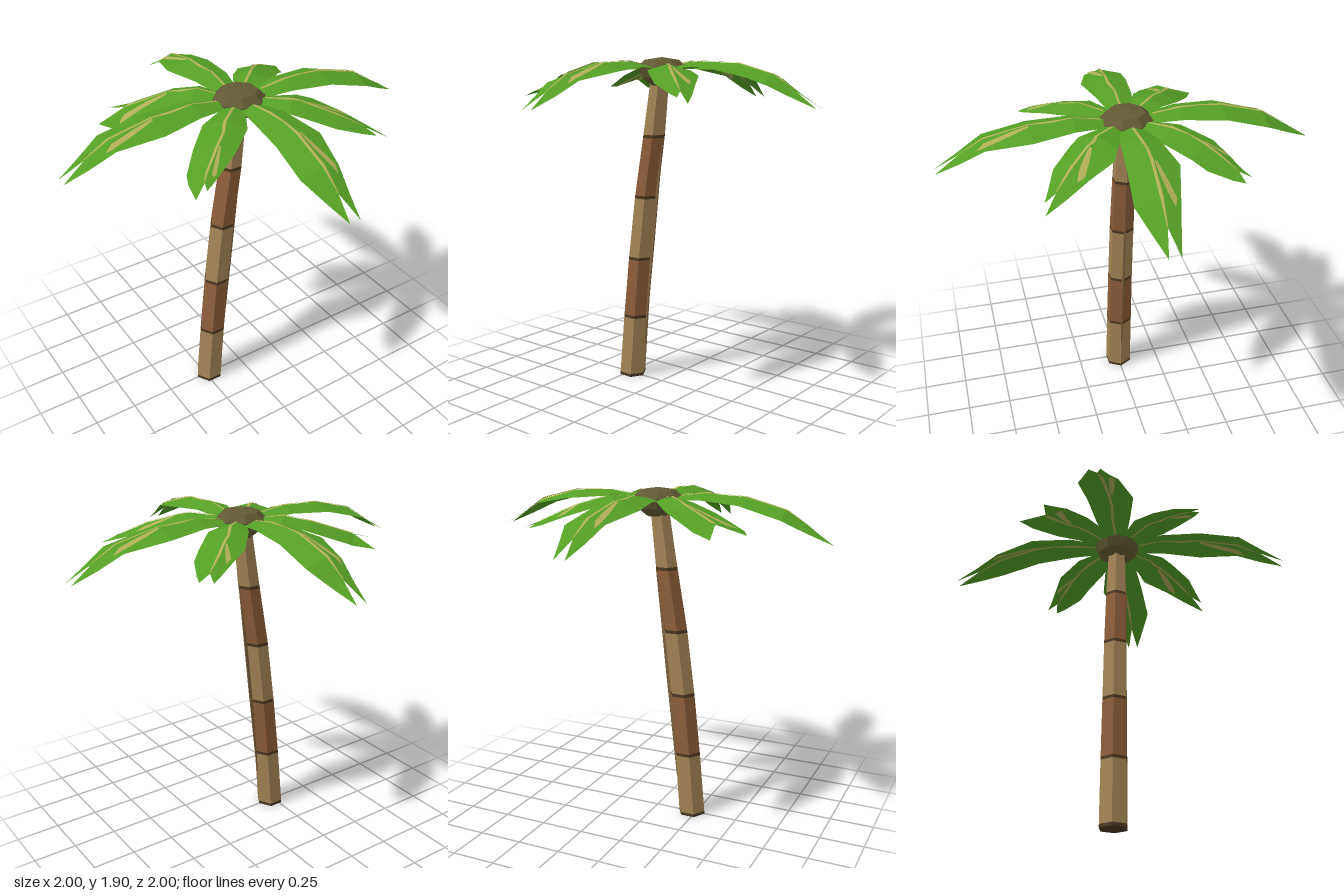
import * as THREE from 'three';

const mat = (name, color, side = THREE.FrontSide) => {
  const m = new THREE.MeshStandardMaterial({ color, side });
  m.name = name;
  return m;
};

// piecewise linear lookup in rows of [key, value, ...]
function lookup(table, key, col = 1) {
  let i = 0;
  while (i < table.length - 2 && key > table[i + 1][0]) i++;
  const [a, b] = [table[i], table[i + 1]];
  return THREE.MathUtils.lerp(a[col], b[col], (key - a[0]) / (b[0] - a[0]));
}

function faceted(geometry) {
  const g = geometry.index ? geometry.toNonIndexed() : geometry;
  g.computeVertexNormals();
  return g;
}

function fromTriangles(points) {
  return faceted(new THREE.BufferGeometry().setFromPoints(points));
}

// trunk: height, centre x, radius
const TRUNK = [
  [0, -0.225, 0.081], [0.375, -0.193, 0.078], [0.735, -0.158, 0.074],
  [1.11, -0.112, 0.071], [1.46, -0.055, 0.066], [1.8, -0.01, 0.055],
];

// section of the leaning six-sided trunk between two heights
function trunkSection(y0, y1, capped) {
  const g = new THREE.CylinderGeometry(1, 1, y1 - y0, 6, 1, !capped, Math.PI / 2);
  const p = g.attributes.position;
  for (let i = 0; i < p.count; i++) {
    const y = p.getY(i) + (y0 + y1) / 2;
    const r = lookup(TRUNK, y, 2);
    p.setXYZ(i, lookup(TRUNK, y) + p.getX(i) * r, y, p.getZ(i) * r);
  }
  return faceted(g);
}

// leaf spine: distance outward, height
const LONG_SPINE = [[0.1, 1.85], [0.3, 1.88], [0.45, 1.882], [0.74, 1.81], [1, 1.65]];
const SHORT_SPINE = [[0.1, 1.85], [0.25, 1.87], [0.45, 1.825], [0.6, 1.765], [0.78, 1.68]];

// leaf stations: distance outward, left edge, middle, right edge; then the two tips
const LONG_LEAF = {
  rows: [[0.1, -0.06, 0, 0.06], [0.28, -0.1, 0, 0.1], [0.51, -0.135, 0, 0.125], [0.74, -0.07, 0.02, 0.15], [0.87, -0.035, 0.03, 0.105]],
  tips: [[1, 0], [1, 0.06]],
};
const SHORT_LEAVES = [
  { // front left of the model
    rows: [[0.1, -0.05, 0, 0.05], [0.28, -0.12, 0, 0.11], [0.36, -0.15, 0, 0.11], [0.52, -0.108, 0, 0.1], [0.66, -0.07, -0.01, 0.04]],
    tips: [[0.778, -0.03], [0.72, 0.014]],
  },
  { // front right
    rows: [[0.1, -0.05, 0, 0.05], [0.3, -0.106, 0, 0.12], [0.47, -0.085, 0, 0.125], [0.62, -0.035, 0.02, 0.12], [0.67, -0.015, 0.02, 0.1]],
    tips: [[0.71, 0], [0.76, 0.04]],
  },
  { // back right
    rows: [[0.1, -0.05, 0, 0.05], [0.23, -0.11, 0, 0.09], [0.38, -0.18, -0.01, 0.1], [0.58, -0.25, -0.07, 0.045], [0.6, -0.243, -0.08, 0.038]],
    tips: [[0.7, -0.205], [0.72, 0]],
  },
  { // back left
    rows: [[0.1, -0.05, 0, 0.05], [0.27, -0.09, 0, 0.12], [0.45, -0.1, 0, 0.13], [0.54, -0.065, 0.01, 0.134], [0.66, -0.02, 0.03, 0.095]],
    tips: [[0.72, 0], [0.72, 0.07]],
  },
];

function makeFrond(name, leaf, spine, angle, mats) {
  const group = new THREE.Group();
  group.name = name;
  const c = Math.cos(angle), s = Math.sin(angle);
  const place = (u, v, drop = 0) =>
    new THREE.Vector3(c * u - s * v, lookup(spine, u) - drop, s * u + c * v);
  const rows = leaf.rows.map(([u, l, m, r]) =>
    [place(u, l, 0.28 * (m - l)), place(u, m), place(u, r, 0.28 * (r - m))]);

  // folded blade with a split tip
  const tri = [];
  for (let i = 0; i < rows.length - 1; i++) {
    for (let j = 0; j < 2; j++) {
      const [a, b, d, e] = [rows[i][j], rows[i][j + 1], rows[i + 1][j + 1], rows[i + 1][j]];
      tri.push(a, b, d, a, d, e);
    }
  }
  const end = rows[rows.length - 1];
  leaf.tips.forEach(([u, v], j) => tri.push(end[j], end[j + 1], place(u, v)));
  const blade = new THREE.Mesh(fromTriangles(tri), mats.green);
  blade.name = 'frondBlade';
  group.add(blade);

  // point on the blade: station t, side from -1 to 1
  const onBlade = (t, side, lift) => {
    const i = Math.min(Math.floor(t), rows.length - 2);
    const at = (row) => row[1].clone().lerp(side < 0 ? row[0] : row[2], Math.abs(side));
    const p = at(rows[i]).lerp(at(rows[i + 1]), t - i);
    p.y += lift;
    return p;
  };
  // pale ribs on both faces: path of [station, side, half width]
  const ribs = [
    [[0.2, 0, 0.1], [1, 0.05, 0.07], [1.5, -0.04, 0.07], [2, 0.03, 0.06], [3, 0, 0.08], [4, 0, 0.03]],
    [[2, -0.1, 0.05], [2.5, -0.3, 0.13], [3, -0.6, 0.18], [3.3, -0.7, 0.02]],
  ];
  const ribTri = [];
  for (const lift of [0.005, -0.005]) {
    for (const path of ribs) {
      for (let i = 0; i < path.length - 1; i++) {
        const [p, q] = [path[i], path[i + 1]];
        for (const [k0, k1] of [[-1, 0], [0, 1]]) {
          const a = onBlade(p[0], p[1] + k0 * p[2], lift), b = onBlade(p[0], p[1] + k1 * p[2], lift);
          const d = onBlade(q[0], q[1] + k1 * q[2], lift), e = onBlade(q[0], q[1] + k0 * q[2], lift);
          if (lift > 0) ribTri.push(a, b, d, a, d, e);
          else ribTri.push(a, d, b, a, e, d);
        }
      }
    }
  }
  const rib = new THREE.Mesh(fromTriangles(ribTri), mats.rib);
  rib.name = 'frondRibs';
  group.add(rib);
  return group;
}

export function createModel() {
  const model = new THREE.Group();
  model.name = 'palmTree';
  const mats = {
    tan: mat('tanBark', 0xa38555),
    brown: mat('brownBark', 0x8e5e3a),
    ring: mat('darkRing', 0x4c3a25),
    crown: mat('oliveCrown', 0x625a33),
    green: mat('leafGreen', 0x559f25, THREE.DoubleSide),
    rib: mat('paleRib', 0xb0ad58, THREE.DoubleSide),
    ridge: mat('ridgeBark', 0x7d6340, THREE.DoubleSide),
  };
  const add = (name, geometry, material) => {
    const mesh = new THREE.Mesh(geometry, material);
    mesh.name = name;
    model.add(mesh);
  };

  // trunk bands and the dark rings between them
  const joints = [0, 0.37, 0.728, 1.098, 1.45, 1.8];
  for (let i = 0; i < 5; i++) {
    const y = joints[i];
    add('trunkRing', trunkSection(y, y + 0.018, i === 0), mats.ring);
    add('trunkBand', trunkSection(y + 0.018, joints[i + 1], false), i % 2 ? mats.brown : mats.tan);
  }

  // thin ridge along the hollow side of the trunk
  const edge = (y) => lookup(TRUNK, y) + lookup(TRUNK, y, 2);
  const ridge = new THREE.Shape();
  ridge.moveTo(edge(0.21), 0.21);
  ridge.lineTo(edge(0.85) + 0.016, 0.85);
  ridge.lineTo(edge(1.45), 1.45);
  for (const y of [1.11, 0.735, 0.375]) ridge.lineTo(edge(y) - 0.004, y);
  const ridgeGeometry = new THREE.ExtrudeGeometry(ridge, { depth: 0.008, bevelEnabled: false });
  ridgeGeometry.translate(0, 0, -0.004);
  add('trunkRidge', ridgeGeometry, mats.ridge);

  // crown knob where the fronds meet
  const profile = [[0, 1.74], [0.06, 1.745], [0.115, 1.79], [0.14, 1.845], [0.1, 1.885], [0, 1.9]];
  const crown = new THREE.LatheGeometry(profile.map(([x, y]) => new THREE.Vector2(x, y)), 8, Math.PI / 8);
  add('crown', faceted(crown), mats.crown);

  // four long fronds with four short ones between
  for (let i = 0; i < 4; i++) {
    const a = (i * Math.PI) / 2;
    model.add(makeFrond('longFrond', LONG_LEAF, LONG_SPINE, a, mats));
    model.add(makeFrond('shortFrond', SHORT_LEAVES[i], SHORT_SPINE, a + Math.PI / 4, mats));
  }
  return model;
}
